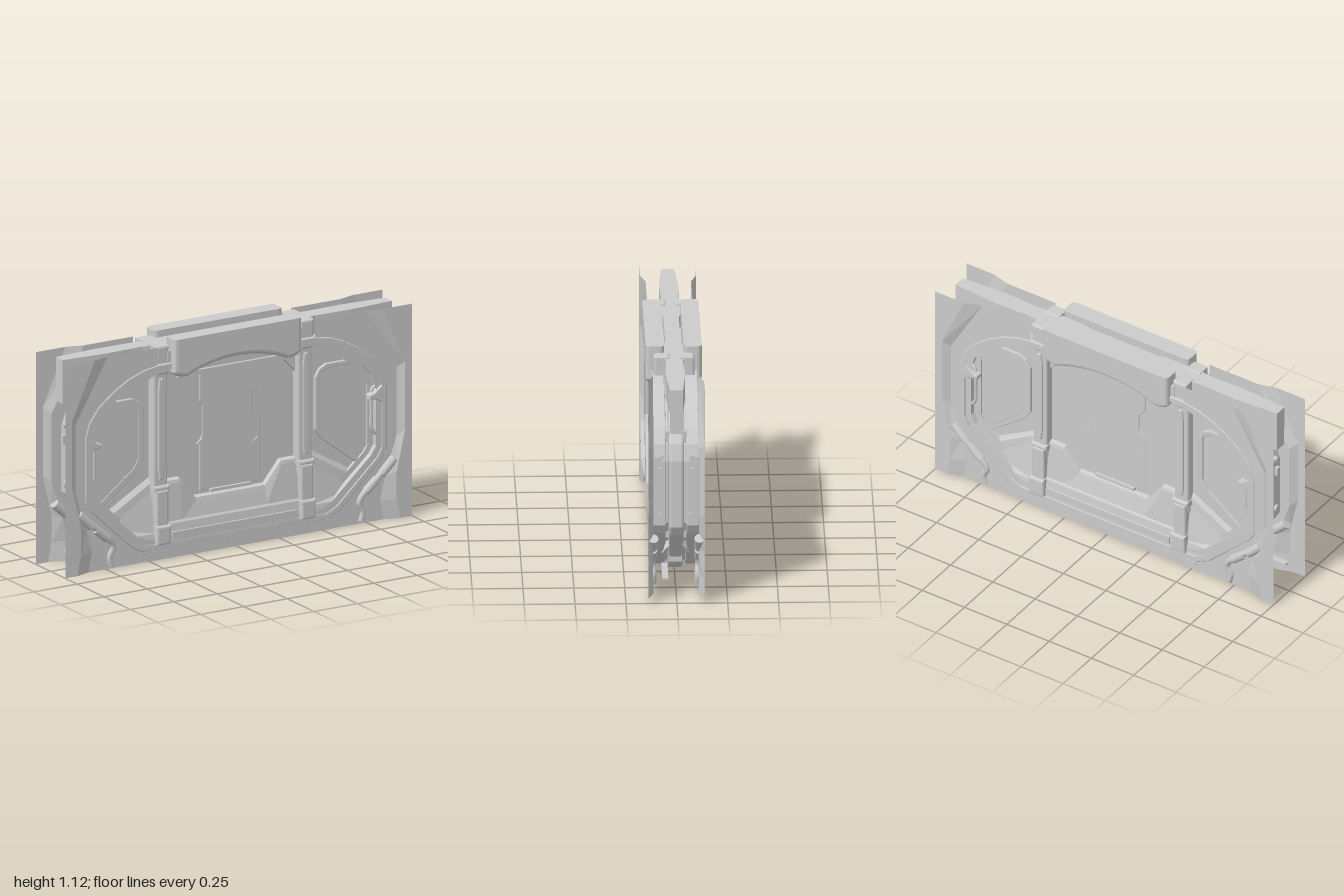
import * as THREE from 'three';

const grey = new THREE.MeshStandardMaterial({ color: 0xcccccc, side: THREE.DoubleSide });

function add(parent, name, geometry, x = 0, y = 0, z = 0) {
  const m = new THREE.Mesh(geometry, grey);
  m.name = name;
  m.position.set(x, y, z);
  parent.add(m);
  return m;
}

function box(parent, name, x0, x1, y0, y1, z0, z1) {
  return add(parent, name, new THREE.BoxGeometry(x1 - x0, y1 - y0, z1 - z0),
    (x0 + x1) / 2, (y0 + y1) / 2, (z0 + z1) / 2);
}

const vecs = pts => pts.map(p => new THREE.Vector2(p[0], p[1]));
const mirrorX = pts => pts.map(p => [-p[0], ...p.slice(1)]);

// Outline (points or a ready shape) extruded along z from z0 to z1, with an optional hole
function plate(parent, name, outline, z0, z1, bevel = 0, hole = null) {
  const shape = outline instanceof THREE.Shape ? outline : new THREE.Shape(vecs(outline));
  if (hole) shape.holes.push(new THREE.Path(vecs(hole)));
  const g = new THREE.ExtrudeGeometry(shape, {
    depth: z1 - z0 - 2 * bevel, bevelEnabled: bevel > 0, bevelSize: bevel,
    bevelThickness: bevel, bevelOffset: -bevel, bevelSegments: 3, curveSegments: 20,
  });
  return add(parent, name, g, 0, 0, z0 + bevel);
}

// Faceted surface through rows of [x, y, z] points of equal length
function loft(parent, name, rows) {
  const p = [];
  for (let r = 0; r < rows.length - 1; r++) {
    for (let i = 0; i < rows[r].length - 1; i++) {
      const a = rows[r][i], b = rows[r][i + 1], c = rows[r + 1][i], d = rows[r + 1][i + 1];
      p.push(...a, ...c, ...b, ...b, ...c, ...d);
    }
  }
  const g = new THREE.BufferGeometry();
  g.setAttribute('position', new THREE.Float32BufferAttribute(p, 3));
  g.computeVertexNormals();
  return add(parent, name, g);
}

function pipe(parent, name, pts, radius) {
  const curve = new THREE.CatmullRomCurve3(pts.map(p => new THREE.Vector3(...p)), false, 'centripetal');
  return add(parent, name, new THREE.TubeGeometry(curve, pts.length * 6, radius, 10));
}

function rod(parent, name, a, b, radius) {
  const va = new THREE.Vector3(...a), vb = new THREE.Vector3(...b), d = vb.clone().sub(va);
  const m = add(parent, name, new THREE.CylinderGeometry(radius, radius, d.length(), 14));
  m.position.copy(va.add(vb).multiplyScalar(0.5));
  m.quaternion.setFromUnitVectors(new THREE.Vector3(0, 1, 0), d.normalize());
  return m;
}

// One half of the opening, top to bottom
const OPENING = [[0.455, 1.0], [0.54, 0.985], [0.62, 0.955], [0.7, 0.91], [0.79, 0.84], [0.845, 0.77],
  [0.87, 0.69], [0.87, 0.53], [0.87, 0.36], [0.84, 0.31], [0.6, 0.085], [0.53, 0.05]];

// Full opening outline, inset by d
function openingLoop(d) {
  const kx = 1 - d / 0.87, ky = 1 - d / 0.47;
  const half = OPENING.map(([x, y]) => [x * kx, 0.525 + (y - 0.525) * ky]);
  return [...half, ...mirrorX(half).reverse()];
}

// Everything on one side of the face that repeats left and right
function buildWing(face, s) {
  const wing = new THREE.Group();
  wing.name = s > 0 ? 'leftWing' : 'rightWing';
  face.add(wing);
  const at = (pts, z) => pts.map(p => [p[0] * s, p[1], p[2] ?? z]);
  const flat = pts => pts.map(p => [p[0] * s, p[1]]);

  // Outer sheet, bevel and flat web up to the opening
  const edge = [[1, 1.09], [1, 0.8], [1, 0.45], [1, 0.22], [1, 0.1], [1, 0]];
  const bevelOut = [[0.83, 1.09], [0.96, 0.8], [0.96, 0.45], [0.91, 0.24], [0.91, 0.1], [0.93, 0]];
  const bevelIn = [[0.74, 1.09], [0.925, 0.77], [0.925, 0.42], [0.86, 0.22], [0.83, 0.1], [0.85, 0]];
  loft(wing, 'outerSheet', [at(edge, 0.138), at(bevelOut, 0.138)]);
  loft(wing, 'sheetBevel', [at(bevelOut, 0.138), at(bevelIn, 0.112)]);
  const web = [[0.455, 1.09], [0.54, 1.09], [0.62, 1.09], [0.68, 1.09], [0.74, 1.09], [0.8325, 0.93],
    [0.925, 0.77], [0.925, 0.53], [0.925, 0.42], [0.86, 0.22], [0.83, 0.1], [0.85, 0], [0.85, 0]];
  loft(wing, 'innerSheet', [at(web, 0.112), at([...OPENING, [0.53, 0]], 0.112)]);

  // Side window: frame around a sunken pane
  const win = [[0.82, 0.83], [0.56, 0.83], [0.52, 0.81], [0.495, 0.77], [0.495, 0.5], [0.53, 0.45], [0.75, 0.28], [0.82, 0.28]];
  const pane = [[0.79, 0.805], [0.57, 0.805], [0.535, 0.79], [0.52, 0.76], [0.52, 0.51], [0.55, 0.465], [0.76, 0.305], [0.79, 0.305]];
  plate(wing, 'windowFrame', flat(win), 0.03, 0.052, 0.004, flat(pane));
  plate(wing, 'windowPane', flat(pane), 0.03, 0.042, 0.003);

  // Sill and sloping floor under the window
  loft(wing, 'sideFloor', [
    at([[0.44, 0.42], [0.78, 0.225]], 0.034), at([[0.44, 0.39], [0.77, 0.2]], 0.055),
    at([[0.44, 0.35], [0.73, 0.175]], 0.058), at([[0.44, 0.13], [0.6, 0.13]], 0.09),
    at([[0.44, 0.07], [0.57, 0.07]], 0.1)]);

  // Column with its sleeves
  const cx = s * 0.417;
  const sleeve = (name, w, y0, y1, z1) => plate(wing, name,
    [[cx - w, y0], [cx + w, y0], [cx + w, y1], [cx - w, y1]], 0.02, z1, 0.012);
  sleeve('columnHead', 0.04, 0.94, 1.09, 0.1);
  sleeve('columnShaft', 0.041, 0.3, 0.96, 0.085);
  plate(wing, 'columnRib', [[cx - 0.012, 0.4], [cx + 0.012, 0.4], [cx + 0.018, 0.45], [cx + 0.018, 0.86],
    [cx + 0.01, 0.92], [cx - 0.01, 0.92], [cx - 0.018, 0.86], [cx - 0.018, 0.45]], 0.05, 0.094, 0.006);
  sleeve('columnCollar', 0.046, 0.34, 0.37, 0.1);
  sleeve('columnFoot', 0.037, 0.06, 0.35, 0.105);
  sleeve('columnBoot', 0.042, 0.07, 0.17, 0.12);
  box(wing, 'capHinge', s * 0.37 - 0.02, s * 0.37 + 0.02, 0.97, 1.06, 0.05, 0.105);

  // Hose with coupling sleeves along the lower corner
  pipe(wing, 'hose', at([[0.9, 0.31, 0.112], [0.82, 0.23, 0.12], [0.74, 0.16, 0.118],
    [0.71, 0.11, 0.112], [0.73, 0.06, 0.11], [0.72, 0.012, 0.11]]), 0.016);
  rod(wing, 'hoseCoupling', [s * 0.91, 0.305, 0.112], [s * 0.835, 0.235, 0.114], 0.024);
  rod(wing, 'hoseCoupling', [s * 0.81, 0.215, 0.114], [s * 0.745, 0.16, 0.114], 0.023);

  // Latch and grab bar on the inside of the ring
  plate(wing, 'latch', flat([[0.87, 0.71], [0.8, 0.655], [0.77, 0.645], [0.77, 0.625], [0.81, 0.62], [0.87, 0.59]]), 0.07, 0.112, 0.006);
  pipe(wing, 'grabBar', at([[0.85, 0.69], [0.805, 0.67], [0.8, 0.56], [0.805, 0.46], [0.85, 0.42]], 0.08), 0.009);

  // Rivets and clip on the outer side of the ring
  for (const [y, r] of [[0.71, 0.012], [0.41, 0.017]])
    rod(wing, 'rivet', [s * 0.85, y, 0.075], [s * 0.882, y, 0.075], r);
  box(wing, 'ringClip', s * 0.872 - 0.015, s * 0.872 + 0.015, 0.615, 0.66, 0.065, 0.088);
}

function buildFace() {
  const face = new THREE.Group();
  buildWing(face, 1);
  buildWing(face, -1);

  // Nested rings around the opening
  plate(face, 'openingRing', openingLoop(0), 0.05, 0.116, 0.006, openingLoop(0.022));
  plate(face, 'openingInnerRing', openingLoop(0.018), 0.035, 0.098, 0.006, openingLoop(0.048));
  plate(face, 'openingSeal', openingLoop(0.04), 0.03, 0.06, 0.004, openingLoop(0.07));

  // Central panel with stepped screen
  const screen = [[-0.165, 0.29], [0.18, 0.29], [0.18, 0.4], [0.18, 0.62], [0.14, 0.65], [0.14, 0.74],
    [0.175, 0.78], [0.175, 0.9], [-0.165, 0.9], [-0.165, 0.75], [-0.15, 0.73], [-0.15, 0.58], [-0.165, 0.55]];
  plate(face, 'screen', screen, 0.03, 0.042, 0.003);
  box(face, 'screenHandle', -0.11, 0.12, 0.28, 0.295, 0.035, 0.058);
  for (const [x, y] of [[-0.165, 0.545], [0.15, 0.5]]) {
    const tick = box(face, 'screenTick', x - 0.025, x + 0.025, y - 0.005, y + 0.005, 0.036, 0.046);
    tick.rotation.z = 0.65;
  }

  // Header and corner gussets under the cap
  plate(face, 'header', [[-0.38, 0.82], [-0.3, 0.905], [0.3, 0.905], [0.38, 0.82], [0.38, 1.02], [-0.38, 1.02]], 0.03, 0.056, 0.004);
  box(face, 'headerTrim', -0.31, 0.31, 0.9, 0.925, 0.04, 0.075);

  // Stepped console sloping down to the sill
  const lip = [[-0.4, 0.385], [-0.29, 0.385], [-0.2, 0.275], [0.2, 0.275], [0.29, 0.385], [0.4, 0.385]];
  const row = (dy, z) => lip.map(([x, y]) => [x, y + dy, z]);
  const level = (y, z) => lip.map(([x]) => [x, y, z]);
  loft(face, 'console', [row(0, 0.034), row(-0.008, 0.06), row(-0.025, 0.064),
    level(0.175, 0.08), level(0.165, 0.088), level(0.1, 0.097), level(0.06, 0.1)]);
  box(face, 'consoleStep', -0.36, 0.36, 0.085, 0.125, 0.07, 0.104);

  // Bottom sill: a folded strip
  const fold = (y, z) => [[-0.53, y, z], [0.53, y, z]];
  loft(face, 'sill', [fold(0.065, 0.06), fold(0.06, 0.108), fold(0.052, 0.116), fold(0, 0.116)]);

  // Cap with rounded ends, arched underside and a flat cut top
  const cap = new THREE.Shape();
  cap.moveTo(-0.37, 1.15);
  cap.lineTo(-0.37, 0.95);
  cap.quadraticCurveTo(-0.35, 0.92, -0.29, 0.92);
  cap.quadraticCurveTo(-0.15, 0.98, 0, 0.98);
  cap.quadraticCurveTo(0.15, 0.98, 0.29, 0.92);
  cap.quadraticCurveTo(0.35, 0.92, 0.37, 0.95);
  cap.lineTo(0.37, 1.15);
  const capGeometry = plate(face, 'cap', cap, 0.048, 0.138, 0.022).geometry;
  const pos = capGeometry.attributes.position;
  for (let i = 0; i < pos.count; i++) pos.setY(i, Math.min(pos.getY(i), 1.12));
  capGeometry.computeVertexNormals();
  return face;
}

export function createModel() {
  const model = new THREE.Group();
  model.name = 'wallPanel';

  // Core slab between the two faces
  plate(model, 'coreSlab', openingLoop(-0.015), -0.038, 0.036, 0.014);

  // Core top beam, swelling at the columns
  const side = [[0.95, 0.032], [0.7, 0.048], [0.5, 0.042], [0.45, 0.05], [0.43, 0.08], [0.405, 0.08], [0.385, 0.05], [0.25, 0.05], [0.2, 0.038]];
  const half = [...side, ...mirrorX(side).reverse()];
  const beam = plate(model, 'topBeam', [...half, ...half.map(([x, z]) => [x, -z]).reverse()], 0, 0.125);
  beam.rotation.x = -Math.PI / 2;
  beam.position.y = 0.96;
  for (const s of [-1, 1]) {
    box(model, 'beamEnd', s * 0.91 - 0.04, s * 0.91 + 0.04, 0.86, 1.08, -0.032, 0.03);
    box(model, 'baseBlock', s * 0.62 - 0.06, s * 0.62 + 0.06, 0.11, 0.15, -0.033, 0.033);
    box(model, 'baseFlange', s * 0.83 - 0.12, s * 0.83 + 0.12, 0.105, 0.115, 0.04, 0.07);
  }
  box(model, 'baseBeam', -0.5, 0.5, 0.04, 0.11, -0.03, 0.03);

  // Matching faces, back to back
  for (const name of ['frontFace', 'backFace']) {
    const face = buildFace();
    face.name = name;
    if (name === 'backFace') face.rotation.y = Math.PI;
    model.add(face);
  }
  return model;
}
